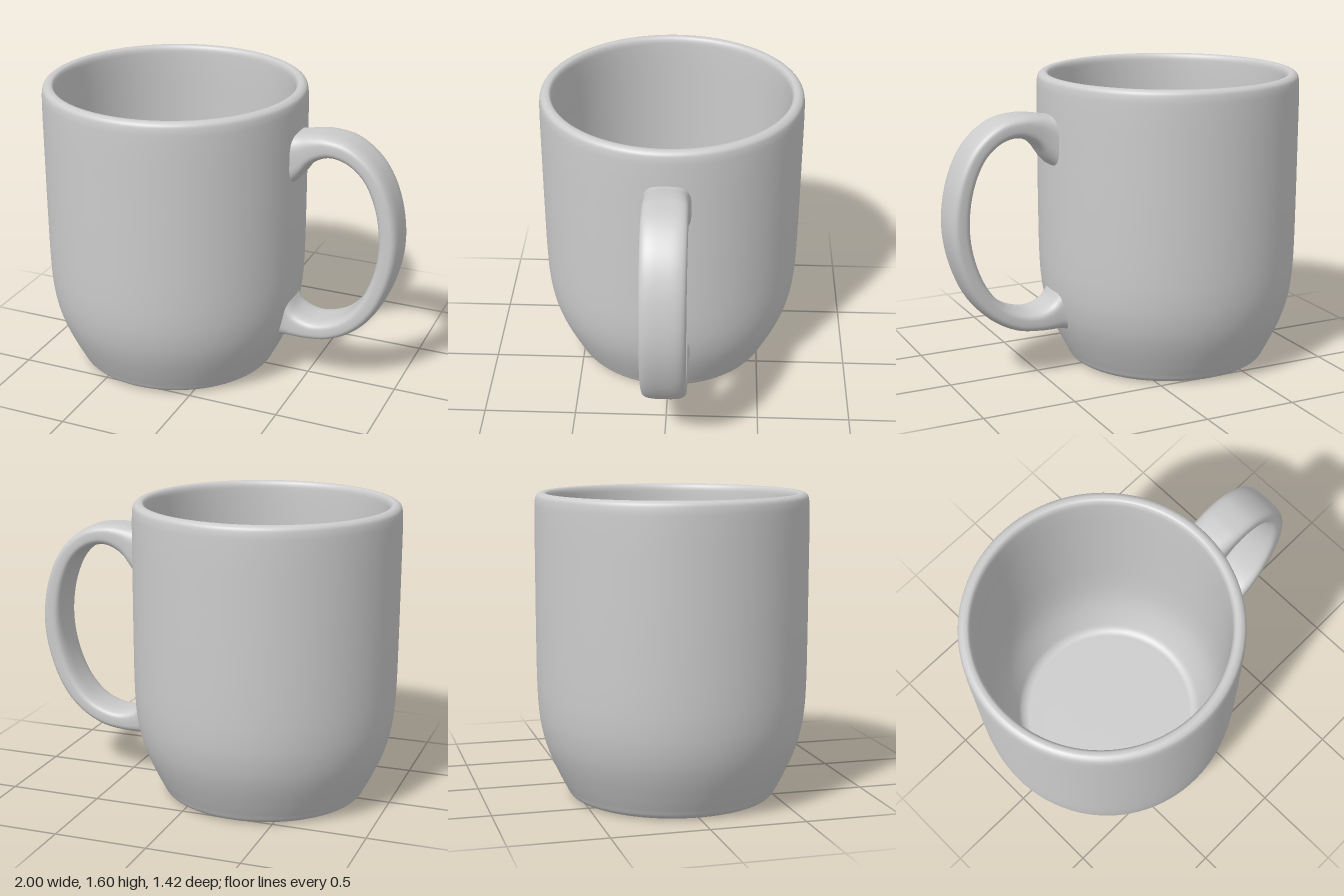
import * as THREE from 'three';

const material = new THREE.MeshStandardMaterial({ color: 0xcccccc, roughness: 0.6 });

// Closed wall profile: base centre, up the outside, over the rim, down the inside
function createCup() {
  const outside = [
    [0, 0], [0.25, 0], [0.48, 0], [0.52, 0.003], [0.545, 0.018], [0.563, 0.05], [0.594, 0.11],
    [0.64, 0.21], [0.672, 0.3], [0.694, 0.4], [0.705, 0.5], [0.71, 0.62], [0.712, 0.9],
    [0.712, 1.2], [0.711, 1.5], [0.708, 1.56], [0.701, 1.585], [0.684, 1.598], [0.67, 1.6],
  ];
  const inside = [
    [0.655, 1.596], [0.645, 1.58], [0.641, 1.54], [0.64, 1.2], [0.64, 0.8], [0.636, 0.6],
    [0.62, 0.42], [0.59, 0.29], [0.54, 0.16], [0.518, 0.12], [0.49, 0.102], [0.45, 0.1],
    [0.25, 0.1], [0, 0.1],
  ];
  const curve = new THREE.CatmullRomCurve3(
    [...outside, ...inside].map(([r, y]) => new THREE.Vector3(r, y, 0)));
  const profile = curve.getPoints(160).map((p) => new THREE.Vector2(Math.max(p.x, 0), p.y));
  profile[0].x = profile[profile.length - 1].x = 0;
  const cup = new THREE.Mesh(new THREE.LatheGeometry(profile, 96), material);
  cup.name = 'cup';
  cup.position.x = -0.29;
  return cup;
}

// Rounded strap lofted between an outer and an inner edge, flaring into the wall
function createHandle() {
  // outer x, y, inner x, y
  const stations = [
    [0.385, 1.41, 0.385, 1.11], [0.44, 1.415, 0.45, 1.18], [0.51, 1.426, 0.515, 1.265],
    [0.59, 1.43, 0.61, 1.31], [0.72, 1.405, 0.7, 1.295], [0.86, 1.3, 0.79, 1.225],
    [0.955, 1.13, 0.86, 1.08], [1, 0.89, 0.89, 0.88], [0.975, 0.68, 0.868, 0.7],
    [0.89, 0.47, 0.8, 0.53], [0.78, 0.345, 0.71, 0.425], [0.64, 0.27, 0.61, 0.377],
    [0.51, 0.25, 0.53, 0.368], [0.42, 0.245, 0.45, 0.4], [0.37, 0.24, 0.41, 0.45],
    [0.32, 0.215, 0.385, 0.5],
  ];
  const edge = (i) => new THREE.CatmullRomCurve3(
    stations.map((s) => new THREE.Vector3(s[i], s[i + 1], 0)));
  const outer = edge(0), inner = edge(2);
  const rings = 96, sides = 48;
  const soften = (v) => Math.sign(v) * Math.abs(v) ** 0.6;
  const positions = [], indices = [];

  for (let s = 0; s <= rings; s++) {
    const t = s / rings;
    const o = outer.getPoint(t), i = inner.getPoint(t);
    const centre = o.clone().add(i).multiplyScalar(0.5);
    const half = o.clone().sub(i).multiplyScalar(0.5);
    const flare = Math.max(0, 1 - Math.min(t, 1 - t) / 0.12);
    const width = 0.118 + 0.014 * flare * flare;
    for (let k = 0; k < sides; k++) {
      const a = (k / sides) * Math.PI * 2;
      const p = centre.clone().addScaledVector(half, soften(Math.cos(a)));
      positions.push(p.x, p.y, width * soften(Math.sin(a)));
      if (s < rings) {
        const n = (k + 1) % sides;
        const p0 = s * sides + k, p1 = s * sides + n;
        indices.push(p0, p1, p0 + sides, p1, p1 + sides, p0 + sides);
      }
    }
  }
  const geometry = new THREE.BufferGeometry();
  geometry.setAttribute('position', new THREE.Float32BufferAttribute(positions, 3));
  geometry.setIndex(indices);
  geometry.computeVertexNormals();
  const handle = new THREE.Mesh(geometry, material);
  handle.name = 'handle';
  return handle;
}

export function createModel() {
  const mug = new THREE.Group();
  mug.name = 'mug';
  mug.add(createCup(), createHandle());
  return mug;
}
